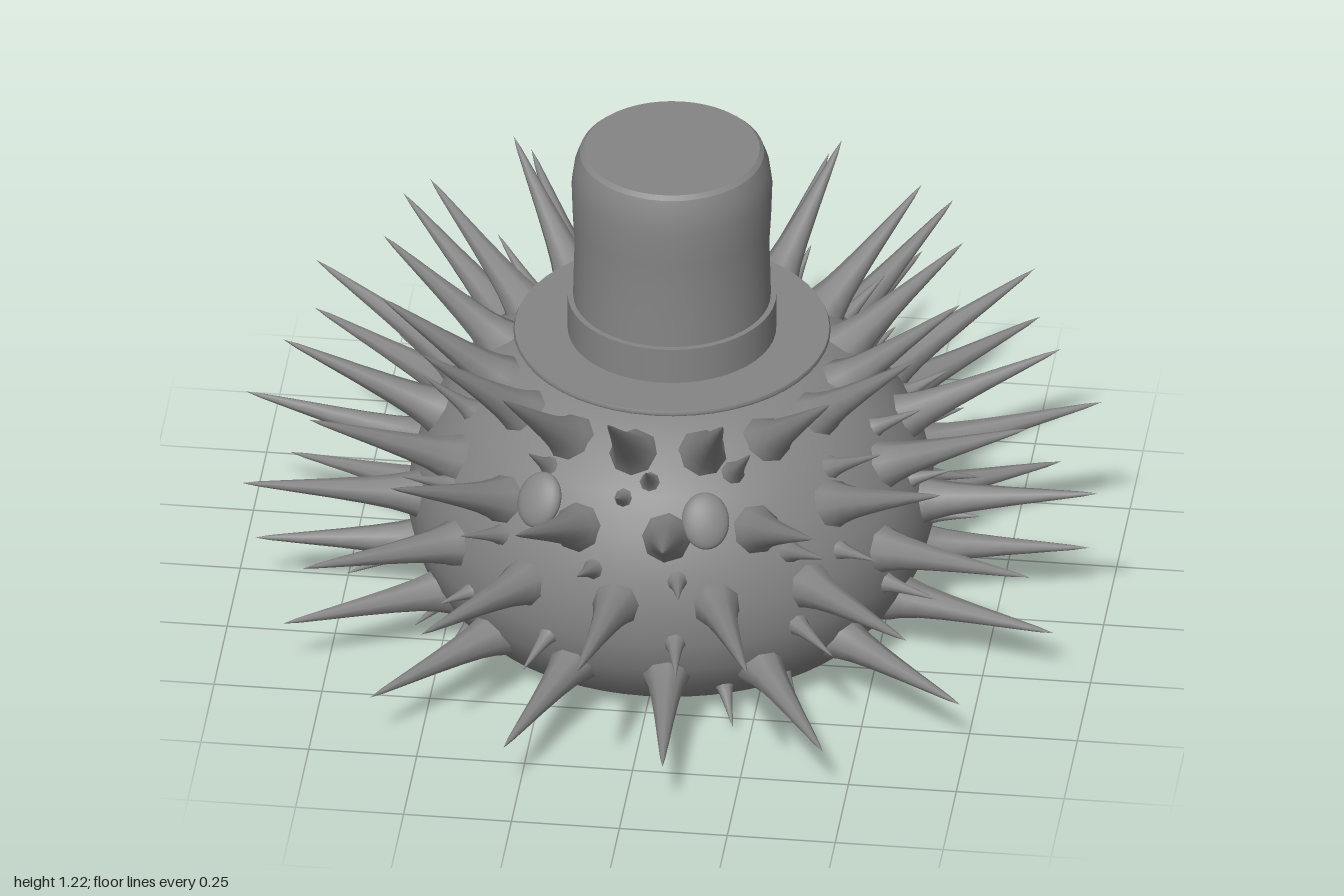
import * as THREE from 'three';

const material = new THREE.MeshStandardMaterial({ color: 0x858585 });
const UP = new THREE.Vector3(0, 1, 0);
const lathe = (pts, seg) =>
  new THREE.LatheGeometry(pts.map(([r, y]) => new THREE.Vector2(r, y)), seg);

// Body profile from the underside to the crown of the shell: [radius, y]
const SHELL = [
  [0, 0], [0.42, 0.002], [0.5, 0.045], [0.55, 0.105], [0.585, 0.17], [0.605, 0.25],
  [0.602, 0.34], [0.582, 0.42], [0.545, 0.5], [0.49, 0.58], [0.415, 0.65], [0.31, 0.7], [0.16, 0.73], [0, 0.735],
];

// Shell radius and outward slope at a height
function shellAt(y) {
  let i = 1;
  while (i < SHELL.length - 2 && SHELL[i + 1][1] < y) i++;
  const [r0, y0] = SHELL[i], [r1, y1] = SHELL[i + 1];
  const normal = new THREE.Vector2(y1 - y0, r0 - r1).normalize();
  return { r: r0 + (r1 - r0) * (y - y0) / (y1 - y0), normal };
}

// Spike of unit length and unit foot width, with a broad foot and a hollow taper
const spikeGeometry = lathe(
  [[1.1, -0.06], [1, 0.02], [0.82, 0.09], [0.66, 0.19], [0.52, 0.33], [0.37, 0.52], [0.22, 0.74], [0.1, 0.91], [0, 1]], 8);

function addSpike(group, angle, r0, y0, r1, y1, width) {
  const c = Math.cos(angle), s = Math.sin(angle);
  const base = new THREE.Vector3(c * r0, y0, s * r0);
  const dir = new THREE.Vector3(c * r1, y1, s * r1).sub(base);
  const mesh = new THREE.Mesh(spikeGeometry, material);
  mesh.name = 'spike';
  mesh.position.copy(base);
  mesh.scale.set(width, dir.length(), width);
  mesh.quaternion.setFromUnitVectors(UP, dir.normalize());
  group.add(mesh);
}

function createHat() {
  const hat = new THREE.Group();
  hat.name = 'hat';
  const add = (name, pts) => {
    const mesh = new THREE.Mesh(lathe(pts, 48), material);
    mesh.name = name;
    hat.add(mesh);
  };
  // Doubled corner points keep the rims crisp
  add('hatBrim', [[0, 0.722], [0.362, 0.722], [0.362, 0.722], [0.365, 0.728], [0.362, 0.735],
    [0.362, 0.735], [0, 0.735]]);
  add('hatBand', [[0.24, 0.73], [0.24, 0.825], [0.24, 0.825], [0.2, 0.825]]);
  add('hatCrown', [[0.228, 0.73], [0.227, 0.86], [0.224, 0.97], [0.228, 1.04], [0.231, 1.13], [0.224, 1.18],
    [0.212, 1.213], [0.212, 1.213], [0.202, 1.222], [0.202, 1.222], [0, 1.222]]);
  return hat;
}

export function createModel() {
  const model = new THREE.Group();
  model.name = 'spikyUrchinWithHat';

  const body = new THREE.Mesh(lathe(SHELL, 64), material);
  body.name = 'body';
  model.add(body);

  // Four staggered rings of large spikes: base radius, base y, tip radius, tip y, half-step shift
  const rings = [
    [0.55, 0.15, 0.96, 0.147, 1],
    [0.575, 0.345, 1.004, 0.42, 0],
    [0.525, 0.495, 0.895, 0.688, 1],
    [0.4, 0.635, 0.68, 0.89, 0],
  ];
  const step = Math.PI / 8;
  rings.forEach(([r0, y0, r1, y1, shift], n) => {
    const ring = new THREE.Group();
    ring.name = `spikeRing${n + 1}`;
    for (let i = 0; i < 16; i++) addSpike(ring, step * (i + 0.25 + shift / 2), r0, y0, r1, y1, 0.06);
    model.add(ring);
  });

  // Small spikes scattered between the rings
  const small = new THREE.Group();
  small.name = 'smallSpikes';
  let seed = 7;
  const rand = () => (seed = (seed * 16807) % 2147483647) / 2147483647;
  const addSmall = (angle, y, length) => {
    const { r, normal } = shellAt(y);
    addSpike(small, angle, r - 0.01, y, r + normal.x * length, y + normal.y * length, 0.02 + length * 0.05);
  };
  for (const y of [0.245, 0.43, 0.585]) {
    for (let i = 0; i < 15; i++) {
      addSmall((i + rand() * 0.8) * Math.PI * 2 / 15, y + (rand() - 0.5) * 0.06, 0.08 + rand() * 0.11);
    }
  }
  // A few low ones pointing down and outward
  for (const angle of [0.95, 1.22, 2.5, 2.75, 2.95]) addSmall(angle, 0.09, 0.1);
  model.add(small);

  // Flattened oval eyes resting on the front of the shell
  for (const [name, x] of [['rightEye', -0.25], ['leftEye', 0.14]]) {
    const eye = new THREE.Mesh(new THREE.SphereGeometry(1, 24, 16), material);
    eye.name = name;
    const angle = Math.asin(x / 0.53);
    eye.scale.set(0.055, 0.066, 0.025);
    eye.position.set(x, 0.54, Math.cos(angle) * 0.53);
    eye.rotation.set(-0.55, angle, 0, 'YXZ');
    model.add(eye);
  }

  model.add(createHat());
  return model;
}
